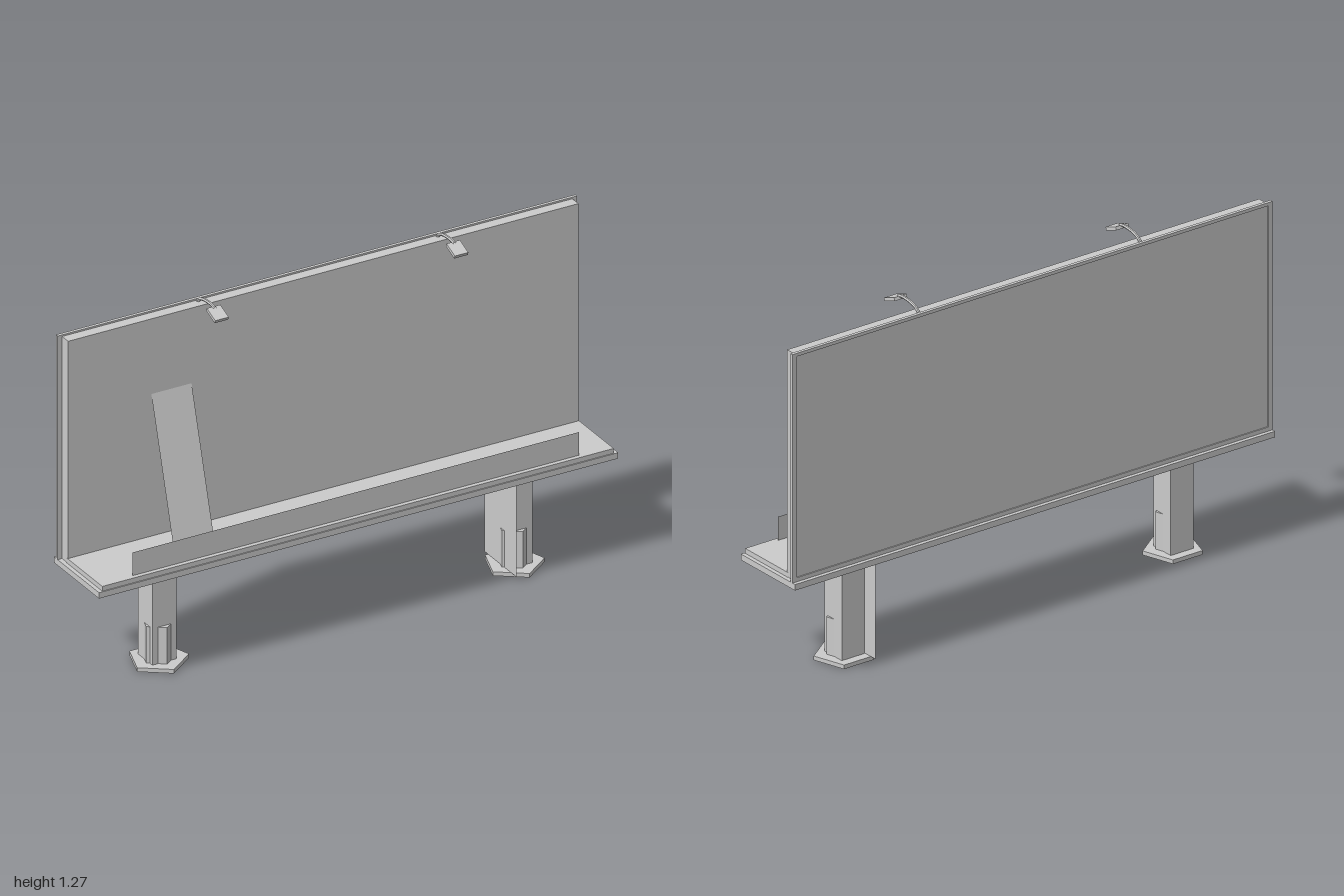
import * as THREE from 'three';

const mat = new THREE.MeshStandardMaterial({ color: 0xcccccc, flatShading: true });
const thin = new THREE.MeshStandardMaterial({ color: 0xcccccc, flatShading: true, side: THREE.DoubleSide });

function add(parent, name, geometry, x = 0, y = 0, z = 0, material = mat) {
  const mesh = new THREE.Mesh(geometry, material);
  mesh.name = name;
  mesh.position.set(x, y, z);
  parent.add(mesh);
  return mesh;
}

// Box given by its minimum and maximum corners
function block(parent, name, [x0, y0, z0], [x1, y1, z1]) {
  const geometry = new THREE.BoxGeometry(x1 - x0, y1 - y0, z1 - z0);
  return add(parent, name, geometry, (x0 + x1) / 2, (y0 + y1) / 2, (z0 + z1) / 2);
}

function rectangle(PathType, x, y0, y1) {
  const path = new PathType();
  path.moveTo(-x, y0);
  path.lineTo(x, y0);
  path.lineTo(x, y1);
  path.lineTo(-x, y1);
  path.closePath();
  return path;
}

// Post on a five-sided foot, with a five-sided sleeve whose corners show through the faces
function makeLeg(x) {
  const leg = new THREE.Group();
  leg.name = 'leg';
  leg.position.x = x;
  block(leg, 'post', [-0.047, 0.14, -0.053], [0.047, 0.515, 0.042]);
  add(leg, 'foot', new THREE.CylinderGeometry(0.105, 0.105, 0.015, 5), 0, 0.1375, 0);
  add(leg, 'sleeve', new THREE.CylinderGeometry(0.06, 0.06, 0.138, 5), 0, 0.213, 0);
  return leg;
}

// Bent arm with a tilted lamp head
function makeLamp(x) {
  const lamp = new THREE.Group();
  lamp.name = 'lamp';
  lamp.position.x = x;
  const points = [[1.37, -0.12], [1.382, -0.108], [1.393, -0.085], [1.399, -0.03], [1.395, -0.005]];
  const curve = new THREE.CatmullRomCurve3(points.map(([y, z]) => new THREE.Vector3(0, y, z)));
  add(lamp, 'lampArm', new THREE.TubeGeometry(curve, 10, 0.006, 6), 0, 0, 0, thin);
  const head = add(lamp, 'lampHead', new THREE.BoxGeometry(0.052, 0.012, 0.06), 0, 1.381, 0.011);
  head.rotation.x = 0.36;
  return lamp;
}

export function createModel() {
  const model = new THREE.Group();
  model.name = 'billboard';

  // Two-step walkway
  block(model, 'platformBase', [-1, 0.515, -0.15], [1, 0.537, 0.15]);
  block(model, 'platformDeck', [-0.985, 0.537, -0.09], [0.985, 0.555, 0.146]);

  // Board with a slightly wider rim around the back
  block(model, 'board', [-0.983, 0.537, -0.132], [0.983, 1.372, -0.084]);
  const rim = rectangle(THREE.Shape, 1, 0.537, 1.378);
  rim.holes.push(rectangle(THREE.Path, 0.982, 0.552, 1.366));
  add(model, 'backRim', new THREE.ExtrudeGeometry(rim, { depth: 0.012, bevelEnabled: false }), 0, 0, -0.136);

  // Thin front guard and leaning ladder sheet
  add(model, 'frontGuard', new THREE.PlaneGeometry(1.72, 0.088), 0, 0.598, 0.13, thin);
  const rise = 0.555, run = 0.16;
  const ladder = add(model, 'ladder', new THREE.PlaneGeometry(0.155, Math.hypot(rise, run)), -0.585, 0.8325, -0.01, thin);
  ladder.rotation.x = -Math.atan2(run, rise);

  // Legs, with a flat side sheet on one of them
  for (const x of [-0.685, 0.685]) model.add(makeLeg(x));
  const sheet = add(model, 'legSidePanel', new THREE.PlaneGeometry(0.215, 0.37), 0.635, 0.33, -0.0025, thin);
  sheet.rotation.y = -Math.PI / 2;

  // Lamps over the top edge
  for (const x of [-0.463, 0.46]) model.add(makeLamp(x));
  return model;
}
